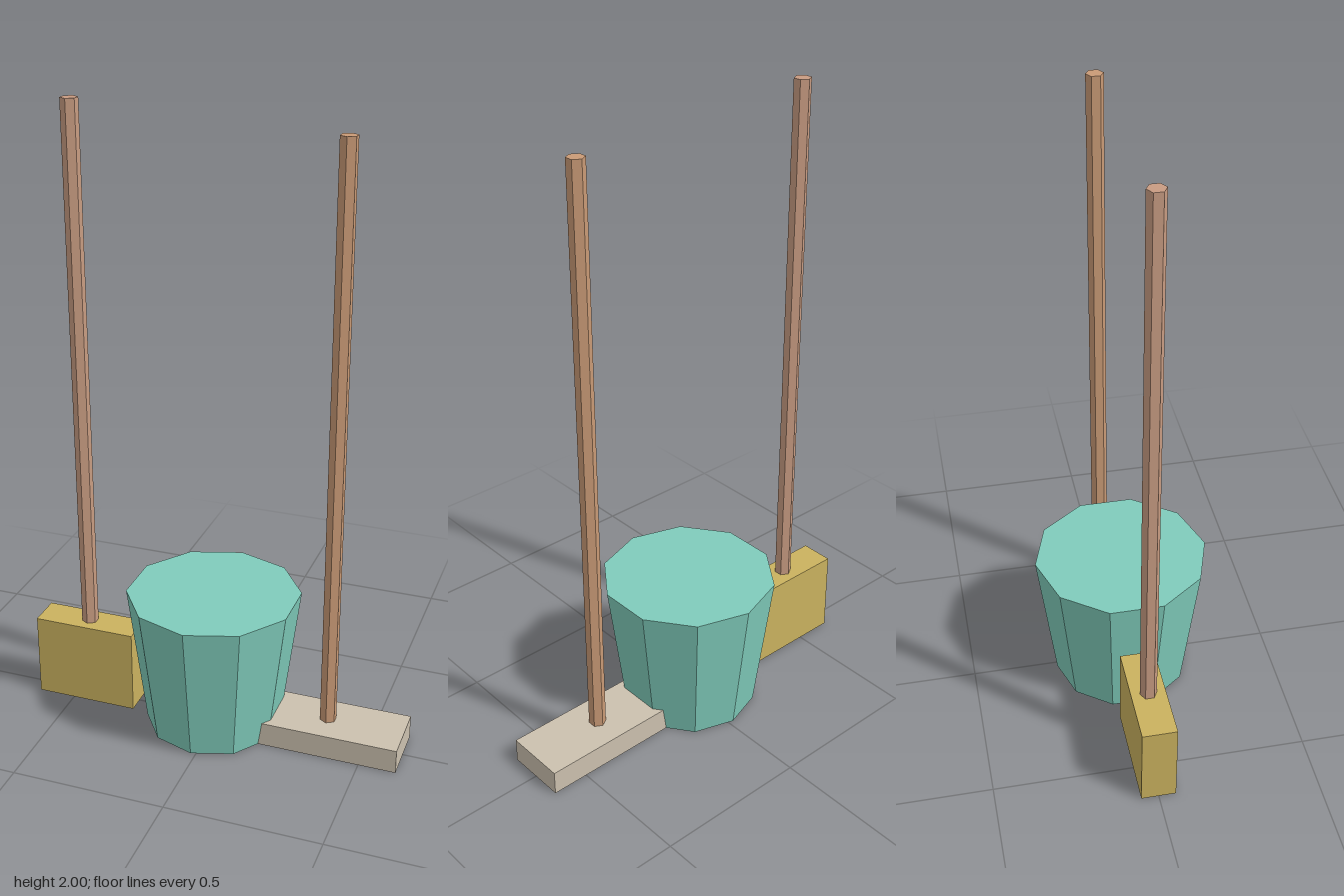
import * as THREE from 'three';

const mat = (name, color) => {
  const m = new THREE.MeshStandardMaterial({ color, flatShading: true });
  m.name = name;
  return m;
};

export function createModel() {
  const group = new THREE.Group();
  const teal = mat('teal', 0x80ccbb);
  const straw = mat('straw', 0xcab25f);
  const cloth = mat('cloth', 0xccc1af);
  const broomWood = mat('broomWood', 0xc89c82);
  const mopWood = mat('mopWood', 0xc99a76);

  const add = (name, geometry, material, x, y) => {
    const mesh = new THREE.Mesh(geometry, material);
    mesh.name = name;
    mesh.position.set(x, y, 0);
    group.add(mesh);
  };

  // Six-sided upright handle between two heights
  const handle = (name, material, x, bottom, top) =>
    add(name, new THREE.CylinderGeometry(0.027, 0.027, top - bottom, 6),
      material, x, (bottom + top) / 2);

  // Ten-sided tapered bucket, closed on top
  add('bucket', new THREE.CylinderGeometry(0.28, 0.22, 0.47, 10), teal, -0.017, 0.235);

  // Broom
  add('broomHead', new THREE.BoxGeometry(0.34, 0.28, 0.11), straw, -0.454, 0.14);
  handle('broomHandle', broomWood, -0.454, 0.27, 2);

  // Mop, its head reaching into the bucket's foot
  add('mopHead', new THREE.BoxGeometry(0.496, 0.08, 0.2), cloth, 0.372, 0.04);
  handle('mopHandle', mopWood, 0.372, 0.07, 1.95);

  return group;
}
